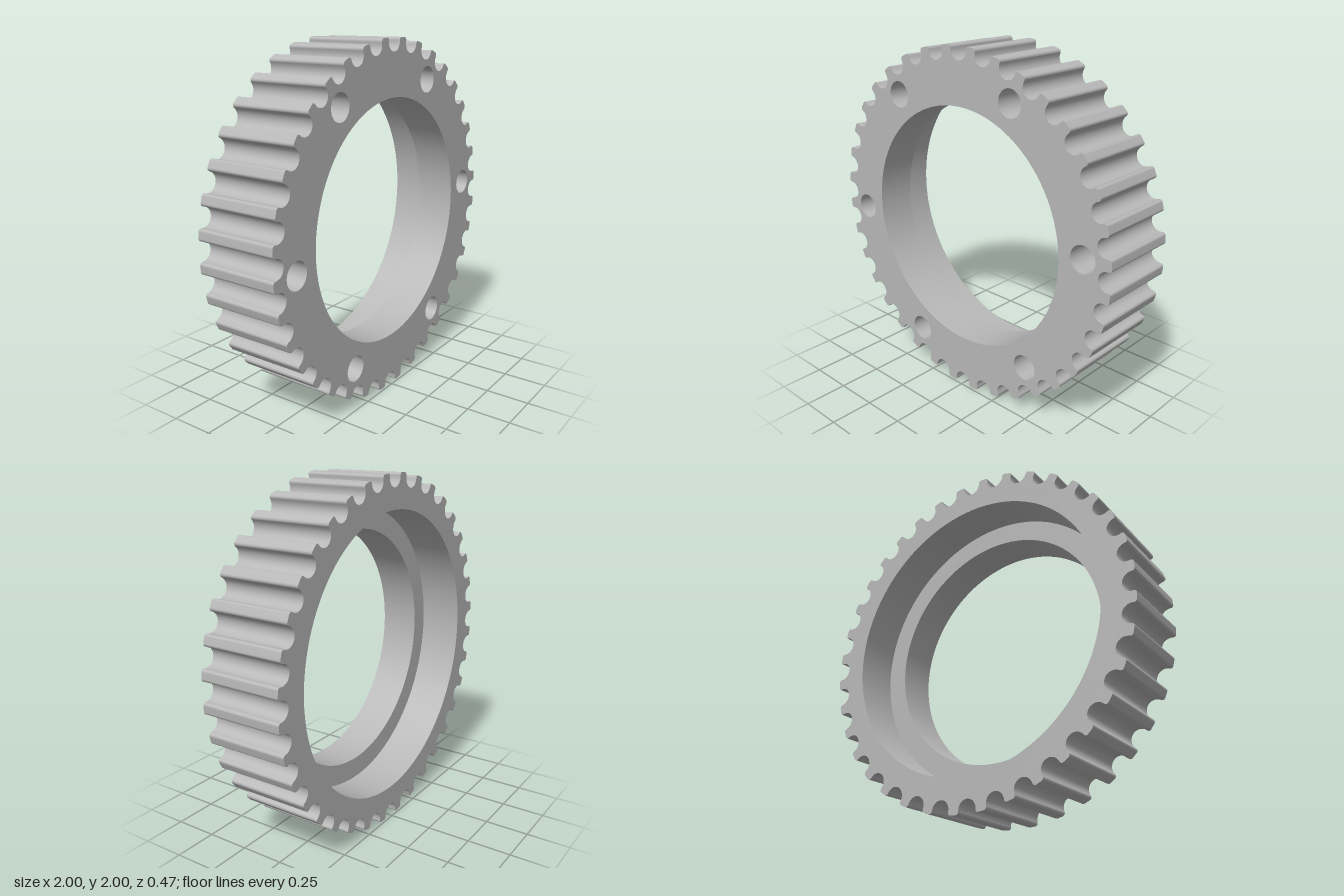
import * as THREE from 'three';

const TEETH = 36;
const FRONT = 0.237, BACK = -0.237, LEDGE = 0.01, HOLE_BOTTOM = 0.04;
const BORE = 0.687, COUNTERBORE = 0.81;
const HOLES = 6, HOLE_RADIUS = 0.075, HOLE_CIRCLE = 0.835;

// Points of an arc, both ends included
function arc(cx, cy, r, a0, a1, n) {
  return Array.from({ length: n + 1 }, (_, i) => {
    const a = a0 + (a1 - a0) * i / n;
    return new THREE.Vector2(cx + r * Math.cos(a), cy + r * Math.sin(a));
  });
}
const circle = (cx, cy, r, n) => arc(cx, cy, r, 0, Math.PI * 2, n).slice(0, -1);

// Closed counter-clockwise belt profile: round grooves with rounded tooth tips
function toothedOutline() {
  const groove = 0.054, tip = 0.015, fx = groove + tip, fy = 0.985;
  const lean = Math.atan2(fx, fy);
  // One groove at the top, running from its right tooth to its left tooth
  const notch = [
    ...arc(fx, fy, tip, Math.PI / 2 - lean, Math.PI, 6),
    ...arc(0, 0.98, groove, 0, -Math.PI, 14),
    ...arc(-fx, fy, tip, 0, Math.PI / 2 + lean, 6),
  ];
  const points = [];
  const origin = new THREE.Vector2();
  for (let i = 0; i < TEETH; i++) {
    const a = i / TEETH * Math.PI * 2;
    for (const p of notch) points.push(p.clone().rotateAround(origin, a));
  }
  return points;
}

// Smooth wall following a closed outline between two depths
function wall(points, z0, z1, inward = false) {
  const ring = inward ? [...points].reverse() : points;
  const position = [], index = [];
  ring.forEach((p, i) => {
    position.push(p.x, p.y, z0, p.x, p.y, z1);
    const a = 2 * i, b = 2 * ((i + 1) % ring.length);
    index.push(a, b, b + 1, a, b + 1, a + 1);
  });
  const g = new THREE.BufferGeometry();
  g.setAttribute('position', new THREE.Float32BufferAttribute(position, 3));
  g.setIndex(index);
  g.computeVertexNormals();
  return g;
}

// Flat face with openings, looking forward or backward
function face(outline, openings, z, backward = false) {
  const shape = new THREE.Shape(outline);
  shape.holes = openings.map((o) => new THREE.Path(o));
  const g = new THREE.ShapeGeometry(shape);
  if (backward) g.rotateY(Math.PI);
  return g.translate(0, 0, z);
}

export function createModel() {
  const metal = new THREE.MeshStandardMaterial({ color: 0xb8b8b8 });
  metal.name = 'grey metal';

  const model = new THREE.Group();
  model.name = 'timingPulley';
  const add = (name, geometry) => {
    const mesh = new THREE.Mesh(geometry, metal);
    mesh.name = name;
    model.add(mesh);
  };

  const outline = toothedOutline();
  const bore = circle(0, 0, BORE, 128);
  const counterbore = circle(0, 0, COUNTERBORE, 128);
  // Blind bolt holes, each centred under a tooth
  const boltHoles = Array.from({ length: HOLES }, (_, i) => {
    const a = THREE.MathUtils.degToRad(5 + i * 360 / HOLES);
    return circle(HOLE_CIRCLE * Math.cos(a), HOLE_CIRCLE * Math.sin(a), HOLE_RADIUS, 40);
  });

  add('toothedRim', wall(outline, BACK, FRONT));
  add('frontFace', face(outline, [bore, ...boltHoles], FRONT));
  add('backFace', face(outline, [counterbore], BACK, true));

  // Stepped bore: narrow at the front, wide at the back
  add('boreWall', wall(bore, LEDGE, FRONT, true));
  add('boreLedge', face(counterbore, [bore], LEDGE, true));
  add('counterboreWall', wall(counterbore, BACK, LEDGE, true));

  boltHoles.forEach((hole, i) => {
    add(`boltHoleWall${i + 1}`, wall(hole, HOLE_BOTTOM, FRONT, true));
    add(`boltHoleFloor${i + 1}`, face(hole, [], HOLE_BOTTOM));
  });

  model.position.y = 1;
  const root = new THREE.Group();
  root.name = 'pulleyModel';
  root.add(model);
  return root;
}
